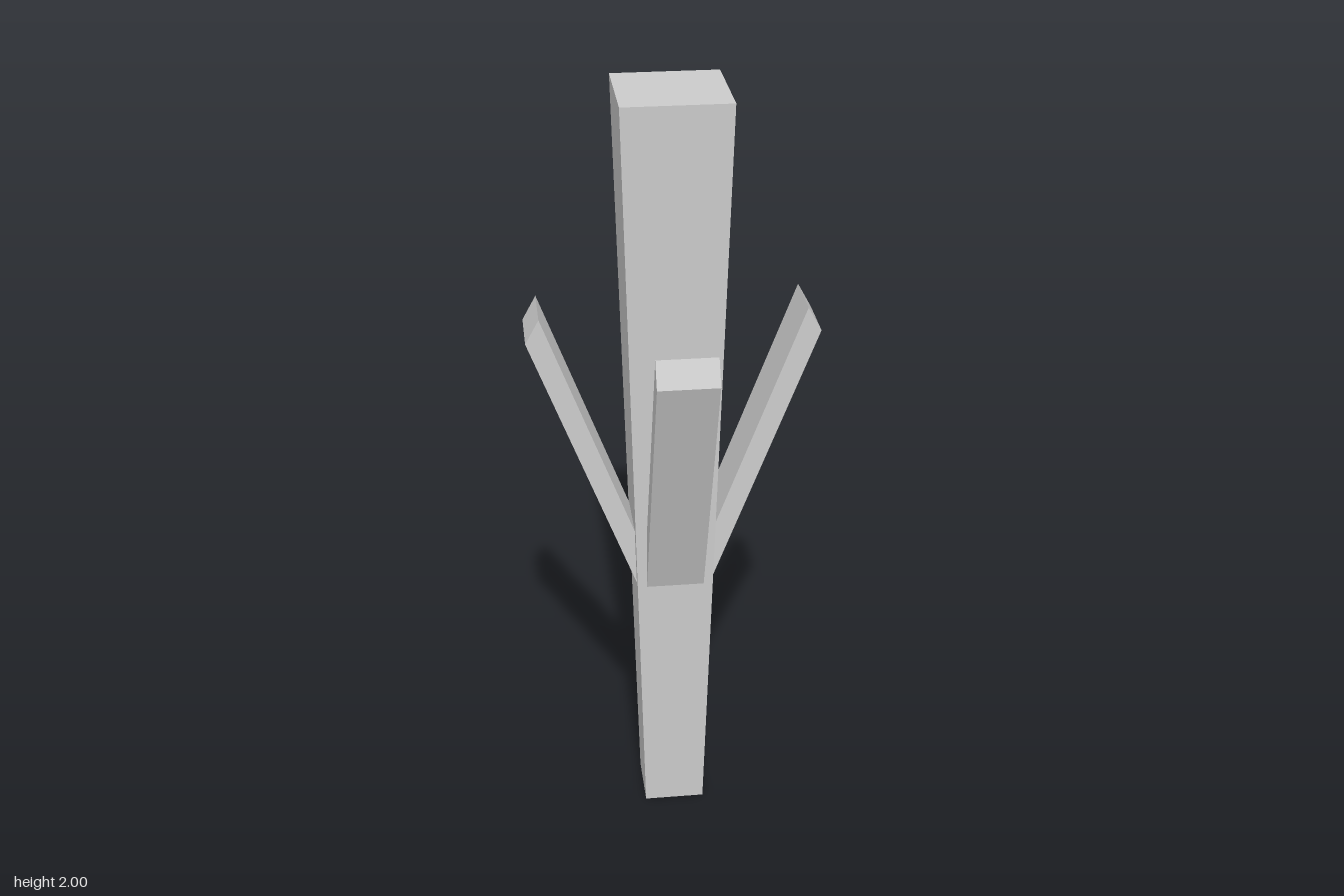
import * as THREE from 'three';

export function createModel() {
  const model = new THREE.Group();
  const material = new THREE.MeshStandardMaterial({
    color: 0xcccccc, flatShading: true, side: THREE.DoubleSide,
  });

  // Square shaft, wider at the top, open underneath
  const BOTTOM = 0.079, TOP = 0.132, HEIGHT = 2;
  const shaftGeometry = new THREE.CylinderGeometry(
    TOP * Math.SQRT2, BOTTOM * Math.SQRT2, HEIGHT, 4, 1, true);
  shaftGeometry.rotateY(Math.PI / 4);
  const shaft = new THREE.Mesh(shaftGeometry, material);
  shaft.name = 'shaft';
  shaft.position.y = HEIGHT / 2;
  model.add(shaft);

  // Flat cap closing the top
  const cap = new THREE.Mesh(new THREE.PlaneGeometry(TOP * 2, TOP * 2), material);
  cap.name = 'topCap';
  cap.rotation.x = -Math.PI / 2;
  cap.position.y = HEIGHT;
  model.add(cap);

  // Slanted slat profile, its root sunk just into the shaft
  const profile = new THREE.Shape([
    [0.09, 0.69], [0.361, 1.405], [0.327, 1.467], [0.094, 0.845],
  ].map(([x, y]) => new THREE.Vector2(x, y)));
  const WIDTH = 0.148;
  const slatGeometry = new THREE.ExtrudeGeometry(profile, { depth: WIDTH, bevelEnabled: false });
  slatGeometry.translate(0, 0, -WIDTH / 2);

  // One slat on each side of the shaft
  ['left', 'back', 'right', 'front'].forEach((side, i) => {
    const slat = new THREE.Mesh(slatGeometry, material);
    slat.name = `${side}Slat`;
    slat.rotation.y = i * Math.PI / 2;
    model.add(slat);
  });

  return model;
}
